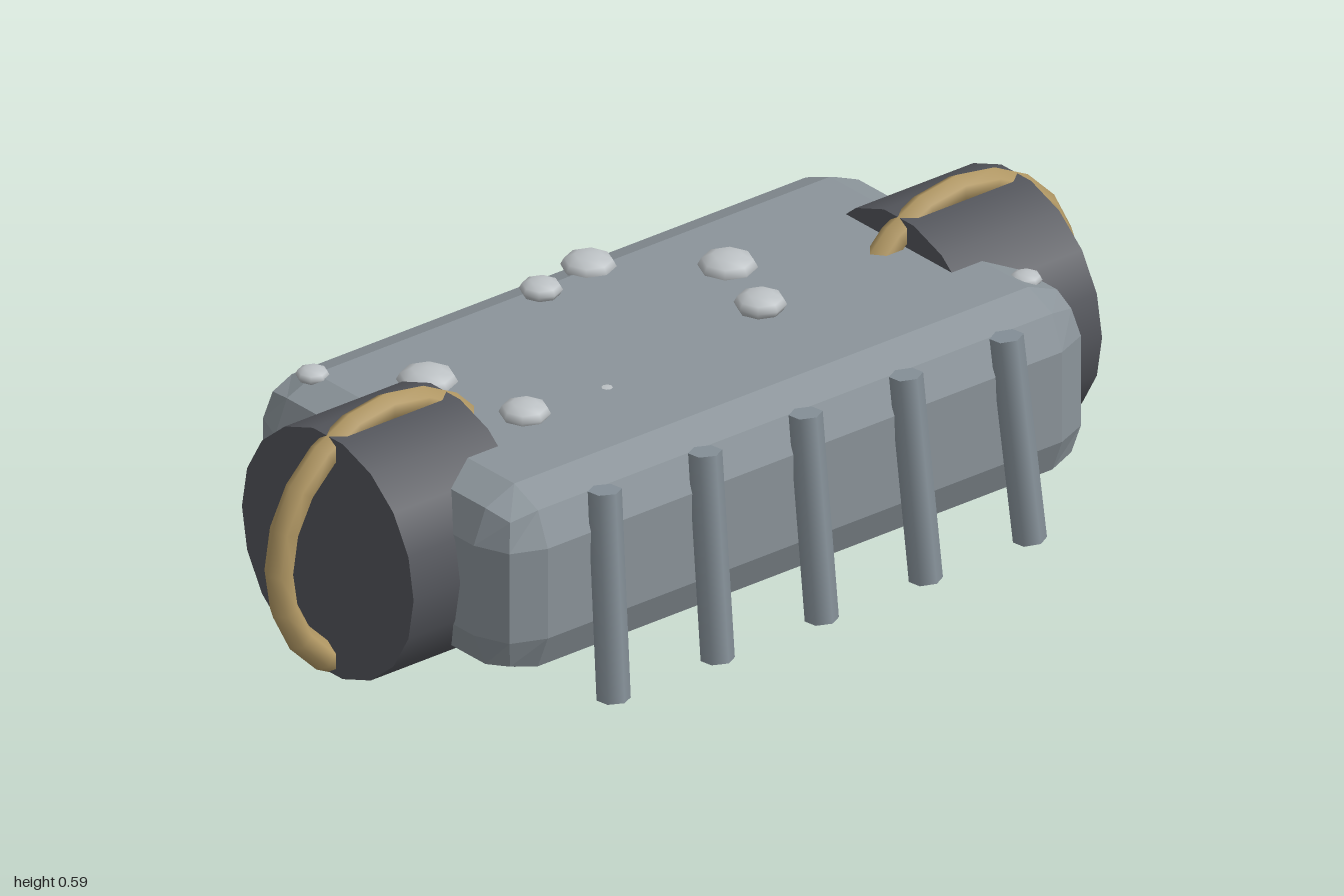
import * as THREE from 'three';
import { RoundedBoxGeometry } from 'three/addons/geometries/RoundedBoxGeometry.js';

export function createModel() {
  const model = new THREE.Group();
  model.name = 'model';

  const makeMaterial = (name, color) => {
    const m = new THREE.MeshStandardMaterial({ color });
    m.name = name;
    return m;
  };
  const stone = makeMaterial('grey body', 0x8b949a);
  stone.flatShading = true;
  const pegGrey = makeMaterial('peg grey', 0x87929a);
  const dark = makeMaterial('dark grey', 0x54565c);
  const tan = makeMaterial('tan', 0xb59b66);
  const pale = makeMaterial('pale grey', 0xbcc1c4);

  const add = (name, geometry, material, x, y, z) => {
    const mesh = new THREE.Mesh(geometry, material);
    mesh.name = name;
    mesh.position.set(x, y, z);
    model.add(mesh);
    return mesh;
  };

  const cy = 0.297, cz = -0.042;

  // Bevelled body block, two facets per rounded edge
  add('body', new RoundedBoxGeometry(1.47, 0.392, 0.79, 1, 0.1), stone, 0, cy, cz);

  // End drums, each wrapped by an upright ring
  for (const side of [-1, 1]) {
    const label = side > 0 ? 'left' : 'right';
    const drum = new THREE.CylinderGeometry(0.255, 0.255, 0.29, 18).rotateZ(Math.PI / 2);
    add(label + 'Drum', drum, dark, side * 0.705, cy, cz);
    add(label + 'Ring', new THREE.TorusGeometry(0.266, 0.029, 6, 20), tan, side * 0.705, cy, cz);
  }

  // Row of leaning pegs, fanning outward towards the bottom
  const up = new THREE.Vector3(0, 1, 0);
  for (let i = -2; i <= 2; i++) {
    const top = new THREE.Vector3(i * 0.248, 0.474, 0.355);
    const bottom = new THREE.Vector3(i * 0.257, 0.052, 0.403);
    const axis = top.clone().sub(bottom);
    const mid = top.clone().add(bottom).multiplyScalar(0.5);
    const geometry = new THREE.CylinderGeometry(0.033, 0.033, axis.length(), 6);
    const peg = add('frontPeg' + (i + 3), geometry, pegGrey, mid.x, mid.y, mid.z);
    peg.quaternion.setFromUnitVectors(up, axis.normalize());
  }

  // Flattened bumps on top: x, z, radius, height of centre
  const bumps = [
    [-0.64, -0.34, 0.033, 0.492],
    [-0.49, -0.18, 0.06, 0.492],
    [-0.44, 0.05, 0.05, 0.5],
    [-0.105, -0.305, 0.042, 0.512],
    [0.05, -0.35, 0.054, 0.493],
    [0.248, -0.175, 0.058, 0.496],
    [0.175, 0.01, 0.051, 0.514],
    [0.668, 0.205, 0.032, 0.48],
    [-0.245, 0.06, 0.045, 0.472],
  ];
  bumps.forEach(([x, z, r, y], i) => {
    const bump = add('bump' + (i + 1), new THREE.SphereGeometry(r, 8, 6), pale, x, y, z);
    bump.scale.y = 0.5;
  });

  return model;
}
